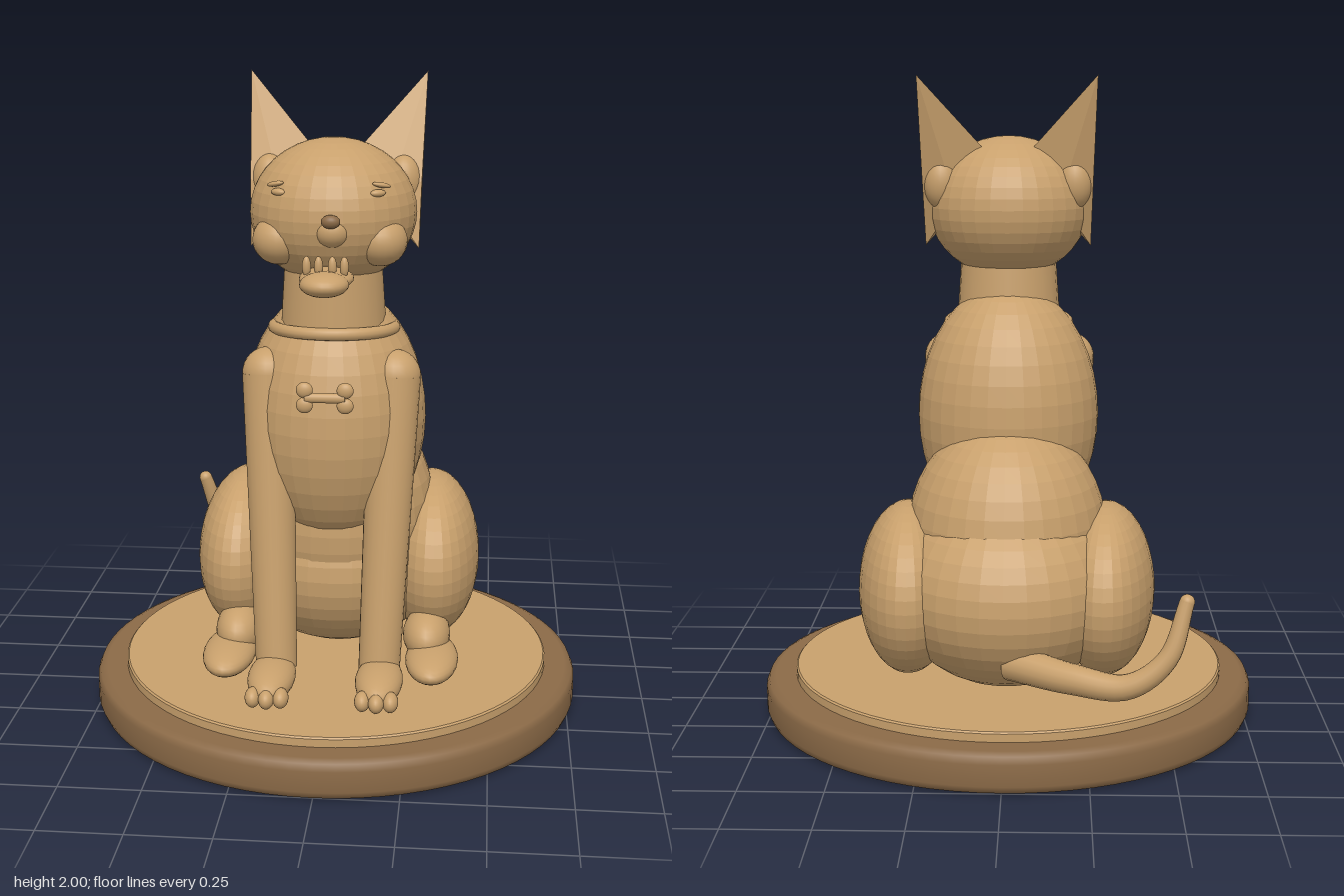
import * as THREE from 'three';
import { ConvexGeometry } from 'three/addons/geometries/ConvexGeometry.js';

const tan = new THREE.MeshStandardMaterial({ color: 0xc8a06c });
tan.name = 'tan';
const brown = new THREE.MeshStandardMaterial({ color: 0x8b6a47 });
brown.name = 'brown';

const V = (x, y, z) => new THREE.Vector3(x, y, z);

export function createModel() {
  const model = new THREE.Group();
  model.name = 'sittingDog';

  const add = (name, geometry, material = tan) => {
    const mesh = new THREE.Mesh(geometry, material);
    mesh.name = name;
    model.add(mesh);
    return mesh;
  };

  // Ellipsoid; the large ones get visible facets
  const ball = (name, pos, radii, material = tan, faceted = false) => {
    let g = new THREE.SphereGeometry(1, faceted ? 32 : 24, faceted ? 20 : 16);
    g.scale(...radii);
    if (faceted) {
      g = g.toNonIndexed();
      g.computeVertexNormals();
    }
    const mesh = add(name, g, material);
    mesh.position.set(...pos);
    return mesh;
  };

  // Tapered cylinder between two points
  const limb = (name, from, to, r0, r1, material = tan) => {
    const a = V(...from), b = V(...to);
    const dir = b.clone().sub(a);
    const mesh = add(name, new THREE.CylinderGeometry(r1, r0, dir.length(), 24), material);
    mesh.position.copy(a).lerp(b, 0.5);
    mesh.quaternion.setFromUnitVectors(V(0, 1, 0), dir.normalize());
    return mesh;
  };

  // Round stand with a softened rim, and the thin disc on it
  const rim = [[0, 0], [0.745, 0], [0.766, 0.009], [0.775, 0.03], [0.775, 0.095],
    [0.766, 0.116], [0.745, 0.125], [0, 0.125]].map(p => new THREE.Vector2(...p));
  add('stand', new THREE.LatheGeometry(rim, 72), brown);
  const disc = [[0.68, 0.12], [0.68, 0.12], [0.68, 0.15], [0.68, 0.15], [0.675, 0.155],
    [0.675, 0.155], [0, 0.155]].map(p => new THREE.Vector2(...p));
  add('standTop', new THREE.LatheGeometry(disc, 72));

  // Body
  ball('rump', [0, 0.45, -0.17], [0.36, 0.31, 0.39], tan, true);
  ball('belly', [0, 0.6, -0.12], [0.31, 0.36, 0.34], tan, true);
  ball('chest', [0, 0.95, 0.035], [0.285, 0.41, 0.295], tan, true);
  limb('neck', [0, 1.2, 0.08], [0, 1.46, 0.09], 0.165, 0.148);
  const collar = add('collar', new THREE.TorusGeometry(0.185, 0.019, 12, 48));
  collar.position.set(0, 1.237, 0.06);
  collar.rotation.x = Math.PI / 2 - 0.08;

  // Head and muzzle
  ball('head', [0, 1.598, 0.078], [0.252, 0.22, 0.254], tan, true);
  ball('snout', [0.015, 1.57, 0.29], [0.055, 0.05, 0.055]);
  ball('nose', [0.015, 1.605, 0.342], [0.028, 0.02, 0.02], brown);
  ball('jaw', [0, 1.435, 0.31], [0.08, 0.03, 0.11]);
  ball('tongue', [0, 1.43, 0.38], [0.072, 0.036, 0.075]);
  for (const x of [-0.055, -0.02, 0.02, 0.055]) {
    ball('tooth', [x, 1.475, 0.342], [0.013, 0.03, 0.013]);
  }

  // Bone charm in front of the chest
  const bone = limb('boneShaft', [-0.06, 1.09, 0.37], [0.06, 1.09, 0.37], 0.015, 0.015);
  bone.scale.z = 0.9;
  for (const x of [-0.06, 0.06]) {
    for (const y of [1.067, 1.113]) ball('boneKnob', [x, y, 0.37], [0.025, 0.024, 0.016]);
  }

  // Mirrored parts
  for (const s of [-1, 1]) {
    const side = s > 0 ? 'left' : 'right';

    // Face
    ball(side + 'Cheek', [s * 0.15, 1.53, 0.205], [0.08, 0.075, 0.085]);
    const brow = ball(side + 'Brow', [s * 0.155, 1.7, 0.25], [0.03, 0.008, 0.014]);
    brow.rotation.set(0, s * 0.55, -s * 0.2);
    const eye = ball(side + 'Eye', [s * 0.145, 1.678, 0.262], [0.025, 0.011, 0.014]);
    eye.rotation.y = s * 0.55;

    // Thin pointed ear with its rounded root
    add(side + 'Ear', new ConvexGeometry([
      V(s * 0.272, 2.0, -0.122), V(s * 0.257, 1.48, 0.045), V(s * 0.257, 1.48, 0.025),
      V(s * 0.03, 1.73, 0), V(s * 0.16, 1.62, 0.04), V(s * 0.16, 1.62, -0.035),
      V(s * 0.262, 1.68, 0.005), V(s * 0.262, 1.68, -0.045),
    ]));
    ball(side + 'EarRoot', [s * 0.205, 1.675, -0.02], [0.055, 0.08, 0.055]);

    // Front leg, paw and toes
    limb(side + 'FrontLeg', [s * 0.16, 0.2, 0.29], [s * 0.193, 1.11, 0.16], 0.064, 0.08);
    ball(side + 'Shoulder', [s * 0.193, 1.11, 0.16], [0.08, 0.08, 0.08]);
    ball(side + 'FrontPaw', [s * 0.165, 0.2, 0.37], [0.073, 0.052, 0.15]);
    for (const t of [-0.042, 0, 0.042]) {
      ball(side + 'Toe', [s * 0.165 + t, 0.188, t ? 0.495 : 0.505], [0.024, 0.03, 0.037]);
    }

    // Hind leg
    const thigh = ball(side + 'Thigh', [s * 0.305, 0.435, -0.157], [0.155, 0.265, 0.325], tan, true);
    thigh.rotation.y = s * 0.05;
    ball(side + 'Hock', [s * 0.3, 0.25, 0.11], [0.075, 0.08, 0.12]);
    ball(side + 'HindFoot', [s * 0.32, 0.203, 0.2], [0.083, 0.05, 0.168]);
  }

  // Tail: tube narrowed toward its tip
  const path = new THREE.CatmullRomCurve3([V(-0.02, 0.29, -0.46), V(-0.2, 0.275, -0.565),
    V(-0.36, 0.275, -0.625), V(-0.47, 0.36, -0.63), V(-0.525, 0.52, -0.6)]);
  const rings = 32, sides = 16;
  const tail = new THREE.TubeGeometry(path, rings, 0.055, sides);
  const pos = tail.attributes.position;
  const v = V(0, 0, 0);
  for (let i = 0; i < pos.count; i++) {
    const t = Math.floor(i / (sides + 1)) / rings;
    const c = path.getPointAt(t);
    v.fromBufferAttribute(pos, i).sub(c).multiplyScalar(1 - 0.6 * t).add(c);
    pos.setXYZ(i, v.x, v.y, v.z);
  }
  add('tail', tail);
  ball('tailTip', [-0.525, 0.52, -0.6], [0.022, 0.022, 0.022]);

  return model;
}
